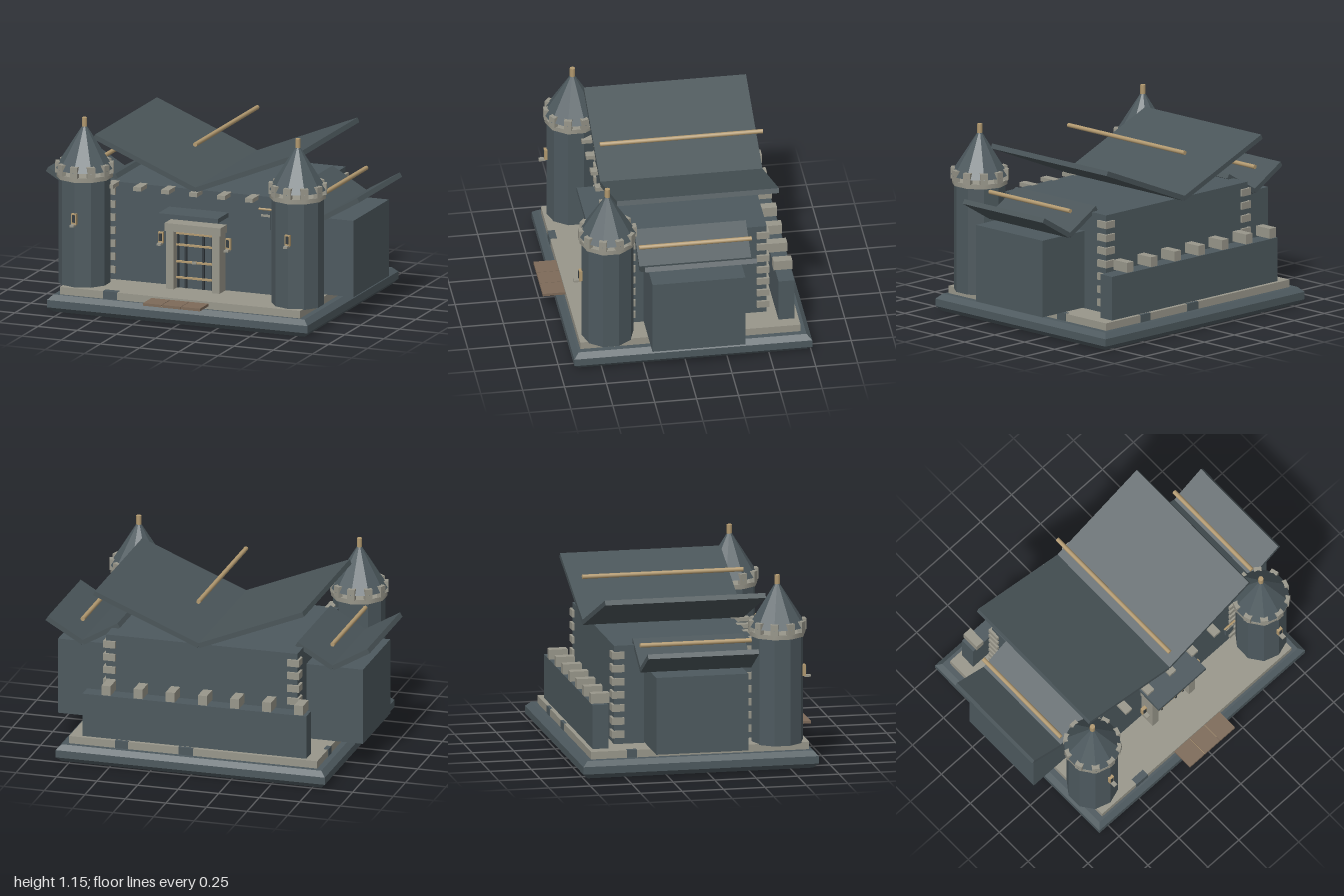
import * as THREE from 'three';

const mat = (name, hex) => {
  const m = new THREE.MeshStandardMaterial({ color: hex });
  m.name = name;
  return m;
};

export function createModel() {
  const slate = mat('slate stone', 0x4d595e);
  const roofing = mat('roof slate', 0x4a5559);
  const stone = mat('pale stone', 0x98968a);
  const wood = mat('plank wood', 0x7d6a59);
  const brass = mat('tan trim', 0xb39a70);
  const dark = mat('dark recess', 0x343c40);
  const faceted = slate.clone();
  faceted.flatShading = true;

  const castle = new THREE.Group();
  castle.name = 'castle';

  const add = (name, geo, material, x, y, z, parent = castle) => {
    const m = new THREE.Mesh(geo, material);
    m.name = name;
    m.position.set(x, y, z);
    parent.add(m);
    return m;
  };
  // Box given by its minimum and maximum corners
  const span = (name, material, [x0, x1], [y0, y1], [z0, z1], parent) =>
    add(name, new THREE.BoxGeometry(x1 - x0, y1 - y0, z1 - z0), material,
      (x0 + x1) / 2, (y0 + y1) / 2, (z0 + z1) / 2, parent);

  // Chamfered base slab
  const b = 0.03, hx = 0.83 - b, hz = 0.71 - b;
  const outline = new THREE.Shape([[-hx, -hz], [hx, -hz], [hx, hz], [-hx, hz]].map(p => new THREE.Vector2(...p)));
  const baseGeo = new THREE.ExtrudeGeometry(outline, {
    depth: 0.045, bevelEnabled: true, bevelSegments: 1, bevelSize: b, bevelThickness: b,
  });
  baseGeo.rotateX(-Math.PI / 2);
  add('base', baseGeo, slate, 0, b, -0.045);

  // Paved terrace with a few darker stones set in its rim
  span('terrace', stone, [-0.765, 0.765], [0.1, 0.15], [-0.695, 0.62]);
  span('rimStone', slate, [-0.49, -0.4], [0.106, 0.152], [0.58, 0.624]);
  span('rimStone', slate, [0.74, 0.769], [0.106, 0.152], [-0.36, -0.29]);
  span('rimStone', slate, [-0.769, -0.74], [0.106, 0.152], [-0.48, -0.42]);
  span('rimStone', slate, [0.4, 0.48], [0.106, 0.152], [-0.699, -0.68]);
  span('rimStone', slate, [0.0, 0.09], [0.106, 0.152], [-0.699, -0.68]);

  // Main hall with corner quoins
  span('hall', slate, [-0.59, 0.59], [0.15, 0.745], [-0.52, 0.325]);
  for (const x of [-0.567, 0.567])
    for (const z of [-0.497, 0.302])
      for (let i = 0; i < 7; i++)
        add('quoin', new THREE.BoxGeometry(0.075, 0.042, 0.075), stone, x, 0.21 + i * 0.0795, z);

  // Corbels along the top of the front wall
  for (let i = 0; i < 6; i++)
    add('corbel', new THREE.BoxGeometry(0.05, 0.025, 0.11), stone, -0.535 + i * 0.178, 0.735, 0.36);

  // Pair of slabs tilted into a shallow valley, with a beam above
  const valleyRoof = (name, x, y, half, angle, z0, z1, beamY) => {
    const g = new THREE.Group();
    g.name = name;
    g.position.set(x, y, (z0 + z1) / 2);
    castle.add(g);
    for (const s of [-1, 1]) {
      const slab = add('roofSlab', new THREE.BoxGeometry(half / Math.cos(angle), 0.03, z1 - z0), roofing,
        s * half / 2, Math.tan(angle) * half / 2, 0, g);
      slab.rotation.z = s * angle;
    }
    add('roofBeam', new THREE.CylinderGeometry(0.0135, 0.0135, z1 - z0 + 0.004, 8).rotateX(Math.PI / 2),
      brass, 0, beamY - y, 0, g);
  };
  valleyRoof('mainRoof', 0, 0.757, 0.645, 0.387, -0.585, 0.383, 1.034);

  // Side wings and their roofs
  for (const s of [-1, 1]) {
    add('wing', new THREE.BoxGeometry(0.35, 0.465, 0.555), slate, s * 0.765, 0.388, -0.062);
    valleyRoof('wingRoof', s * 0.77, 0.633, 0.222, 0.53, -0.4, 0.268, 0.782);
  }

  // Low rear wall with merlons
  span('rearWall', slate, [-0.69, 0.69], [0.15, 0.415], [-0.67, -0.575]);
  for (let i = 0; i < 7; i++)
    add('rearMerlon', new THREE.BoxGeometry(0.055, 0.06, 0.112), stone, -0.645 + i * 0.198, 0.45, -0.62);

  // Small bracketed wall lamp
  const lamp = (x, y, z) => {
    const g = new THREE.Group();
    g.name = 'wallLamp';
    g.position.set(x, y, z);
    castle.add(g);
    add('lampBack', new THREE.BoxGeometry(0.032, 0.068, 0.02), brass, 0, 0, 0, g);
    add('lampSlot', new THREE.BoxGeometry(0.018, 0.045, 0.006), dark, 0, 0.004, 0.011, g);
    add('lampSill', new THREE.BoxGeometry(0.026, 0.012, 0.04), stone, 0, -0.035, 0.022, g);
  };

  // Ten-sided corner towers
  for (const s of [-1, 1]) {
    const t = new THREE.Group();
    t.name = 'tower';
    t.position.set(s * 0.68, 0, 0.445);
    castle.add(t);
    add('towerShaft', new THREE.CylinderGeometry(0.155, 0.155, 0.655, 10), faceted, 0, 0.4725, 0, t);
    add('towerRing', new THREE.CylinderGeometry(0.167, 0.167, 0.028, 10), stone, 0, 0.804, 0, t);
    for (let i = 0; i < 10; i++) {
      const a = (i / 10) * Math.PI * 2;
      const m = add('towerMerlon', new THREE.BoxGeometry(0.046, 0.066, 0.03), stone,
        Math.sin(a) * 0.157, 0.85, Math.cos(a) * 0.157, t);
      m.rotation.y = a;
    }
    add('towerRoof', new THREE.ConeGeometry(0.174, 0.275, 10), faceted, 0, 0.983, 0, t);
    add('finial', new THREE.CylinderGeometry(0.016, 0.016, 0.07, 8), brass, 0, 1.115, 0, t);
    lamp(s * 0.68, 0.567, 0.605);
    lamp(s * 0.215, 0.45, 0.39);
  }

  // Gate: frame, barred grille, canopy and plank ramp
  for (const s of [-1, 1])
    add('gatePost', new THREE.BoxGeometry(0.048, 0.36, 0.1), stone, s * 0.146, 0.33, 0.37);
  span('gateLintel', stone, [-0.178, 0.178], [0.502, 0.55], [0.32, 0.425]);
  span('gateRecess', slate, [-0.122, 0.122], [0.15, 0.502], [0.32, 0.365]);
  for (const x of [-0.11, -0.06, 0.05, 0.11])
    add('gateBar', new THREE.BoxGeometry(0.012, 0.345, 0.016), dark, x, 0.327, 0.378);
  for (const y of [0.218, 0.315, 0.417, 0.487])
    add('gateRail', new THREE.BoxGeometry(0.235, 0.011, 0.016), brass, 0, y, 0.386);
  add('gateKnob', new THREE.BoxGeometry(0.025, 0.014, 0.012), stone, 0, 0.315, 0.395);
  span('gateCanopy', slate, [-0.19, 0.19], [0.598, 0.625], [0.32, 0.495]);
  for (let i = -1; i <= 1; i++)
    add('rampPlank', new THREE.BoxGeometry(0.119, 0.016, 0.14), wood, i * 0.122, 0.131, 0.684);
  span('rampEdge', brass, [-0.18, 0.18], [0.126, 0.133], [0.62, 0.752]);

  // Hanging pointed banner on a rod
  const cloth = new THREE.Shape();
  cloth.moveTo(-0.03, 0.68);
  cloth.lineTo(-0.03, 0.565);
  cloth.lineTo(0, 0.535);
  cloth.lineTo(0.03, 0.565);
  cloth.lineTo(0.03, 0.68);
  add('banner', new THREE.ExtrudeGeometry(cloth, { depth: 0.01, bevelEnabled: false }), slate, 0.46, 0, 0.4);
  add('bannerStripe', new THREE.BoxGeometry(0.058, 0.014, 0.006), stone, 0.46, 0.652, 0.411);
  add('bannerRod', new THREE.CylinderGeometry(0.007, 0.007, 0.085, 8).rotateZ(Math.PI / 2), brass, 0.46, 0.69, 0.41);

  return castle;
}
